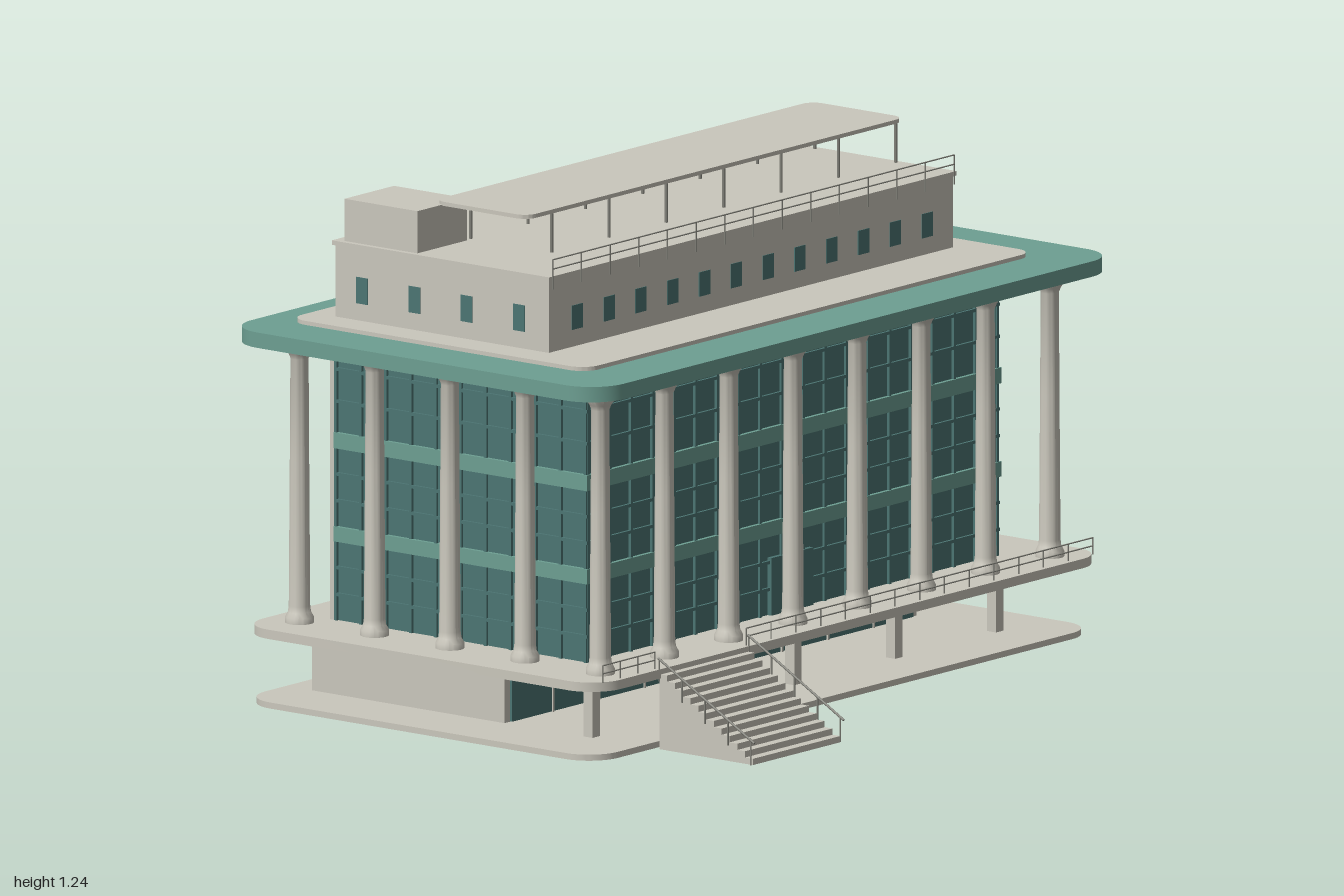
import * as THREE from 'three';
import { toCreasedNormals } from 'three/addons/utils/BufferGeometryUtils.js';

const material = (name, color) => {
  const m = new THREE.MeshStandardMaterial({ color });
  m.name = name;
  return m;
};

export function createModel() {
  const stone = material('stone', 0xcac7bc);
  const green = material('green trim', 0x6d9f92);
  const glass = material('teal glass', 0x4c7573);
  const metal = material('grey metal', 0x85857d);

  const model = new THREE.Group();
  model.name = 'pavilion';
  const group = (name) => {
    const g = new THREE.Group();
    g.name = name;
    model.add(g);
    return g;
  };
  const add = (parent, name, geometry, mat) => {
    const mesh = new THREE.Mesh(geometry, mat);
    mesh.name = name;
    parent.add(mesh);
    return mesh;
  };
  // Box given by its limits on each axis
  const box = (parent, name, mat, x0, x1, y0, y1, z0, z1) => {
    const mesh = add(parent, name, new THREE.BoxGeometry(x1 - x0, y1 - y0, z1 - z0), mat);
    mesh.position.set((x0 + x1) / 2, (y0 + y1) / 2, (z0 + z1) / 2);
    return mesh;
  };
  // Horizontal plate with rounded corners
  const slab = (parent, name, mat, x0, x1, y0, y1, z0, z1, r) => {
    const s = new THREE.Shape();
    const a = -z1, b = -z0;
    s.moveTo(x0 + r, a);
    s.lineTo(x1 - r, a);
    s.absarc(x1 - r, a + r, r, -Math.PI / 2, 0);
    s.lineTo(x1, b - r);
    s.absarc(x1 - r, b - r, r, 0, Math.PI / 2);
    s.lineTo(x0 + r, b);
    s.absarc(x0 + r, b - r, r, Math.PI / 2, Math.PI);
    s.lineTo(x0, a + r);
    s.absarc(x0 + r, a + r, r, Math.PI, Math.PI * 1.5);
    const g = new THREE.ExtrudeGeometry(s, { depth: y1 - y0, bevelEnabled: false, curveSegments: 8 });
    g.rotateX(-Math.PI / 2);
    g.translate(0, y0, 0);
    return add(parent, name, toCreasedNormals(g, 0.6), mat);
  };
  // Thin round bar between two points
  const bar = (parent, name, mat, p, q, r) => {
    const a = new THREE.Vector3(...p), b = new THREE.Vector3(...q);
    const mesh = add(parent, name, new THREE.CylinderGeometry(r, r, a.distanceTo(b), 8), mat);
    mesh.position.copy(a).add(b).multiplyScalar(0.5);
    mesh.quaternion.setFromUnitVectors(new THREE.Vector3(0, 1, 0), b.sub(a).normalize());
  };
  // Level railing along x
  const railing = (name, x0, x1, y0, heights, z, count) => {
    const g = group(name);
    for (const y of heights) bar(g, 'rail', metal, [x0, y, z], [x1, y, z], 0.0018);
    for (let i = 0; i <= count; i++) {
      const x = x0 + ((x1 - x0) * i) / count;
      bar(g, 'railPost', metal, [x, y0, z], [x, heights[heights.length - 1], z], 0.0018);
    }
  };

  // Base, terrace and roof plates
  slab(model, 'basePlate', stone, -0.962, 0.962, 0, 0.015, -0.695, 0.4, 0.09);
  slab(model, 'terrace', stone, -0.977, 0.977, 0.175, 0.198, -0.69, 0.42, 0.09);
  slab(model, 'roofSlab', green, -1, 1, 0.895, 0.933, -0.715, 0.44, 0.1);
  slab(model, 'upperRoofPlate', stone, -0.86, 0.86, 0.933, 0.943, -0.63, 0.29, 0.05);

  // Set-back ground floor with glazed front
  const ground = group('groundFloor');
  box(ground, 'groundWalls', stone, -0.79, 0.79, 0.015, 0.175, -0.615, -0.018);
  box(ground, 'groundGlass', glass, -0.77, 0.77, 0.016, 0.168, -0.018, -0.011);
  for (let i = 1; i < 9; i++) {
    const x = -0.79 + i * 0.1756;
    box(ground, 'groundMullion', stone, x - 0.003, x + 0.003, 0.015, 0.17, -0.015, -0.007);
  }
  for (let i = -2; i <= 2; i++) {
    box(ground, 'groundPost', stone, i * 0.387 - 0.014, i * 0.387 + 0.014, 0.015, 0.175, 0.225, 0.253);
  }

  // Main hall with glazed front and sides
  const hall = group('hall');
  const X = 0.785, ZF = 0.232, ZB = -0.545;
  box(hall, 'hallGlass', glass, -X, X, 0.198, 0.895, ZB, ZF);
  box(hall, 'backWall', stone, -0.79, 0.79, 0.198, 0.895, -0.56, ZB);
  for (const [y0, y1] of [[0.393, 0.43], [0.623, 0.662]]) {
    box(hall, 'floorBand', green, -X - 0.01, X + 0.01, y0, y1, ZB, ZF + 0.01);
  }

  // Window frame grid: uprights, then crossbars
  const frames = group('windowFrames');
  const d = 0.007, w = 0.004;
  for (let i = 0; i <= 19; i++) {
    const x = -X + (2 * X * i) / 19;
    box(frames, 'frontUpright', glass, x - w, x + w, 0.198, 0.895, ZF, ZF + d);
  }
  for (const s of [-1, 1]) {
    for (let i = 0; i <= 10; i++) {
      const z = ZB + w + ((ZF - ZB - w) * i) / 10;
      box(frames, 'sideUpright', glass, s * X - d, s * X + d, 0.198, 0.895, z - w, z + w);
    }
  }
  for (const [y0, y1] of [[0.198, 0.393], [0.43, 0.623], [0.662, 0.895]]) {
    for (const t of [0.33, 0.67]) {
      const y = y0 + (y1 - y0) * t;
      box(frames, 'crossbar', glass, -X - d, X + d, y - w, y + w, ZB, ZF + d);
    }
  }

  // Entrance doors
  const entrance = group('entrance');
  box(entrance, 'doorSurround', glass, -0.09, 0.07, 0.198, 0.34, ZF, ZF + 0.012);
  for (const x of [-0.018, -0.002]) {
    bar(entrance, 'doorHandle', stone, [x, 0.25, ZF + 0.015], [x, 0.29, ZF + 0.015], 0.002);
  }

  // Turned columns along the front and both sides
  const columns = group('columns');
  const profile = [
    [0, 0.198], [0.035, 0.198], [0.035, 0.212], [0.028, 0.225], [0.026, 0.24], [0.0235, 0.6],
    [0.022, 0.85], [0.027, 0.862], [0.036, 0.875], [0.036, 0.895], [0, 0.895],
  ].map((p) => new THREE.Vector2(...p));
  const columnGeometry = toCreasedNormals(new THREE.LatheGeometry(profile, 20), 0.6);
  const column = (x, z) => add(columns, 'column', columnGeometry, stone).position.set(x, 0, z);
  for (let i = 0; i < 8; i++) column(-0.862 + i * 0.2463, 0.337);
  for (let i = 1; i < 5; i++) for (const s of [-1, 1]) column(s * 0.862, 0.337 - i * 0.2332);

  // Penthouse with small windows
  const pent = group('penthouse');
  box(pent, 'penthouseWalls', stone, -0.775, 0.775, 0.943, 1.12, -0.555, 0.107);
  box(pent, 'penthouseCap', stone, -0.781, 0.781, 1.12, 1.131, -0.561, 0.113);
  for (let i = 0; i < 12; i++) {
    const x = -0.667 + i * 0.122;
    box(pent, 'penthouseFrontWindow', glass, x - 0.021, x + 0.021, 0.985, 1.045, 0.105, 0.109);
  }
  for (const s of [-1, 1]) {
    for (let i = 0; i < 4; i++) {
      const z = 0.015 - i * 0.162;
      box(pent, 'penthouseSideWindow', glass, s * 0.775 - 0.002, s * 0.775 + 0.002, 0.985, 1.05, z - 0.018, z + 0.018);
    }
  }

  // Rooftop stair house and canopy
  box(model, 'stairHouse', stone, -0.767, -0.577, 1.131, 1.235, -0.533, -0.307);
  const canopy = group('canopy');
  slab(canopy, 'canopyPlate', stone, -0.673, 0.777, 1.233, 1.243, -0.333, -0.043, 0.035);
  for (let i = 0; i < 7; i++) {
    const x = -0.555 + i * 0.22;
    for (const z of [-0.062, -0.313]) bar(canopy, 'canopyPost', metal, [x, 1.131, z], [x, 1.233, z], 0.004);
  }

  // Railings
  railing('penthouseRailing', -0.77, 0.77, 1.1, [1.15, 1.173], 0.115, 14);
  railing('terraceRailingShort', -0.94, -0.74, 0.198, [0.22, 0.24], 0.408, 3);
  railing('terraceRailingLong', -0.39, 0.94, 0.198, [0.22, 0.24], 0.408, 14);

  // Entrance stairs with sloping handrails
  const stairs = group('stairs');
  const steps = 12, zTop = 0.415, zEnd = 0.705;
  const flight = new THREE.Shape();
  flight.moveTo(zTop, 0);
  flight.lineTo(zEnd, 0);
  for (let i = 0; i < steps; i++) {
    const z = zEnd - ((zEnd - zTop) * i) / steps;
    const y = (0.185 * (i + 1)) / steps;
    flight.lineTo(z, y);
    flight.lineTo(z - (zEnd - zTop) / steps, y);
  }
  const flightGeometry = new THREE.ExtrudeGeometry(flight, { depth: 0.335, bevelEnabled: false });
  flightGeometry.rotateY(-Math.PI / 2);
  add(stairs, 'flight', flightGeometry, stone).position.x = -0.397;
  for (const x of [-0.736, -0.393]) {
    bar(stairs, 'handrail', metal, [x, 0.225, 0.415], [x, 0.055, 0.713], 0.003);
    for (let i = 0; i < 5; i++) {
      const z = 0.418 + i * 0.071;
      const k = (z - 0.415) / 0.298;
      bar(stairs, 'handrailPost', metal, [x, Math.max(0, 0.17 - 0.18 * k), z], [x, 0.225 - 0.17 * k, z], 0.0022);
    }
  }
  return model;
}
